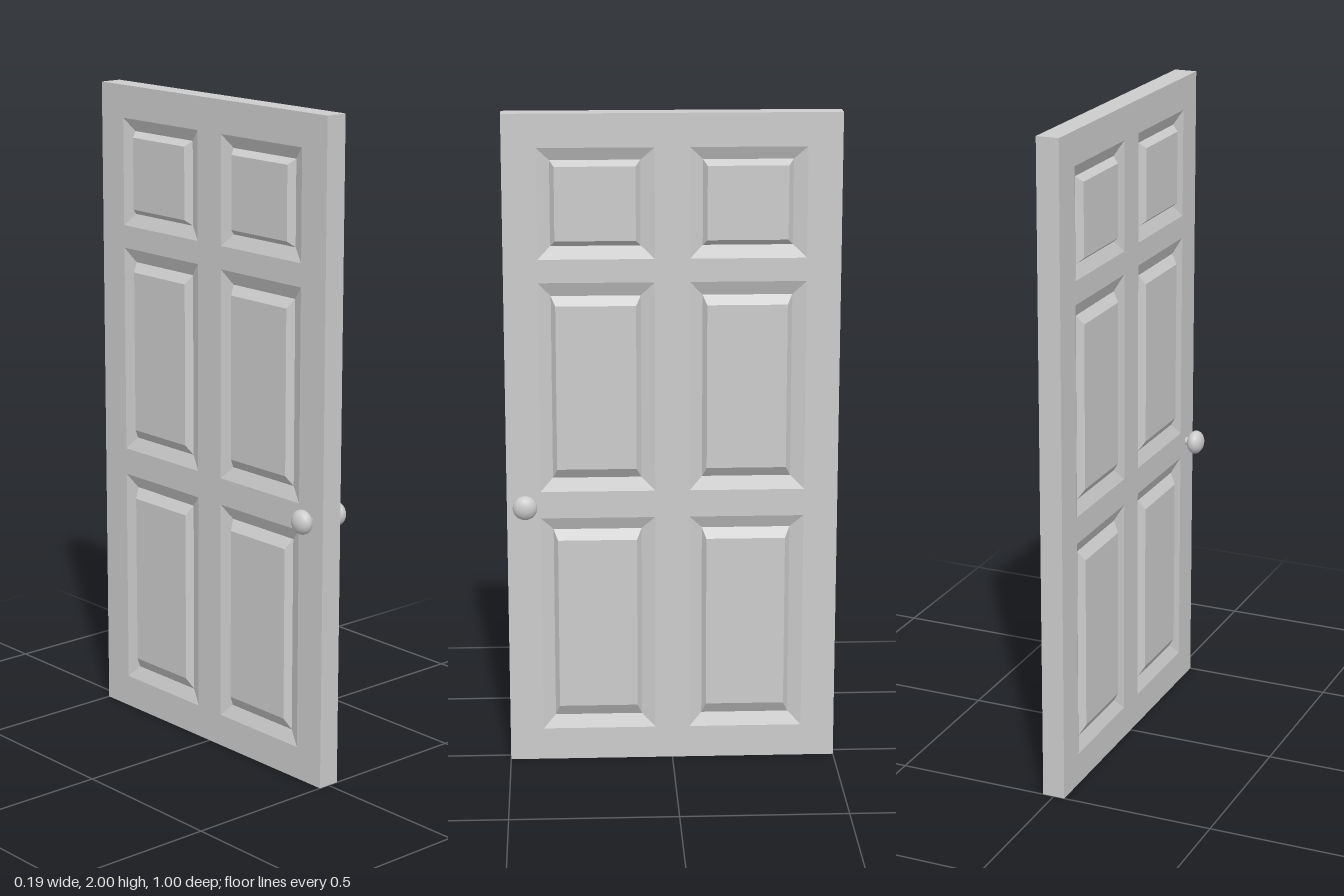
import * as THREE from 'three';

const HALF = 0.0345;    // half the slab thickness
const VALLEY = 0.018;   // bottom of the panel recess
const RAISED = 0.0385;  // face of the raised field

// y bounds: recess, foot of the raised field, top of the raised field
const ROWS = [
  { recess: [1.57, 1.90], foot: [1.608, 1.862], field: [1.625, 1.845] },
  { recess: [0.86, 1.50], foot: [0.90, 1.458], field: [0.93, 1.43] },
  { recess: [0.10, 0.777], foot: [0.14, 0.738], field: [0.175, 0.707] },
];
const COL = { recess: [0.052, 0.398], foot: [0.09, 0.357], field: [0.103, 0.342] };

const material = () => new THREE.MeshStandardMaterial({ color: 0xcccccc });

// Rectangle corners, counter-clockwise seen from +z
const corners = ([x0, x1], [y0, y1], z) => [[x0, y0, z], [x1, y0, z], [x1, y1, z], [x0, y1, z]];

// Sloped recess, bevelled rise and flat field, joined from nested rectangles
function panelGeometry(row) {
  const rings = [
    corners(COL.recess, row.recess, HALF),
    corners(COL.foot, row.foot, VALLEY),
    corners(COL.field, row.field, RAISED),
  ];
  const pos = [];
  const quad = (a, b, c, d) => [a, b, c, a, c, d].forEach((p) => pos.push(...p));
  for (let r = 0; r < rings.length - 1; r++) {
    for (let i = 0; i < 4; i++) {
      const j = (i + 1) % 4;
      quad(rings[r][i], rings[r][j], rings[r + 1][j], rings[r + 1][i]);
    }
  }
  quad(...rings[2]);
  const geo = new THREE.BufferGeometry();
  geo.setAttribute('position', new THREE.Float32BufferAttribute(pos, 3));
  geo.computeVertexNormals();
  return geo;
}

export function createModel() {
  const model = new THREE.Group();
  model.name = 'panelDoor';
  const mat = material();
  const add = (parent, name, geo) => {
    const mesh = new THREE.Mesh(geo, mat);
    mesh.name = name;
    parent.add(mesh);
    return mesh;
  };

  // Slab with six panel openings
  const shape = new THREE.Shape();
  shape.moveTo(-0.5, 0).lineTo(0.5, 0).lineTo(0.5, 2).lineTo(-0.5, 2).closePath();
  for (const { recess: [y0, y1] } of ROWS) {
    for (const s of [-1, 1]) {
      const [a, b] = COL.recess.map((v) => v * s);
      const hole = new THREE.Path();
      hole.moveTo(a, y0).lineTo(a, y1).lineTo(b, y1).lineTo(b, y0).closePath();
      shape.holes.push(hole);
    }
  }
  const slab = new THREE.ExtrudeGeometry(shape, { depth: HALF * 2, bevelEnabled: false });
  slab.translate(0, 0, -HALF).rotateY(Math.PI / 2);
  add(model, 'doorSlab', slab);

  // Both faces: raised panels
  const shift = COL.recess[0] + COL.recess[1];
  for (const side of [1, -1]) {
    const face = new THREE.Group();
    face.name = side > 0 ? 'leftFacePanels' : 'rightFacePanels';
    face.rotation.y = side * Math.PI / 2;
    ROWS.forEach((row, i) => {
      const geo = panelGeometry(row);
      for (const column of [0, 1]) {
        add(face, `panelRow${i + 1}Column${column + 1}`, geo).position.x = -column * shift;
      }
    });
    model.add(face);

    // Knob on a short stem
    const handle = new THREE.Group();
    handle.name = side > 0 ? 'leftHandle' : 'rightHandle';
    handle.position.set(0, 0.82, 0.445);
    const stem = new THREE.CylinderGeometry(0.012, 0.012, 0.03, 20);
    stem.rotateZ(Math.PI / 2);
    add(handle, 'knobStem', stem).position.x = side * 0.045;
    const knob = new THREE.SphereGeometry(1, 32, 20);
    knob.rotateZ(Math.PI / 2).scale(0.026, 0.037, 0.037);
    add(handle, 'knob', knob).position.x = side * 0.067;
    model.add(handle);
  }
  return model;
}
